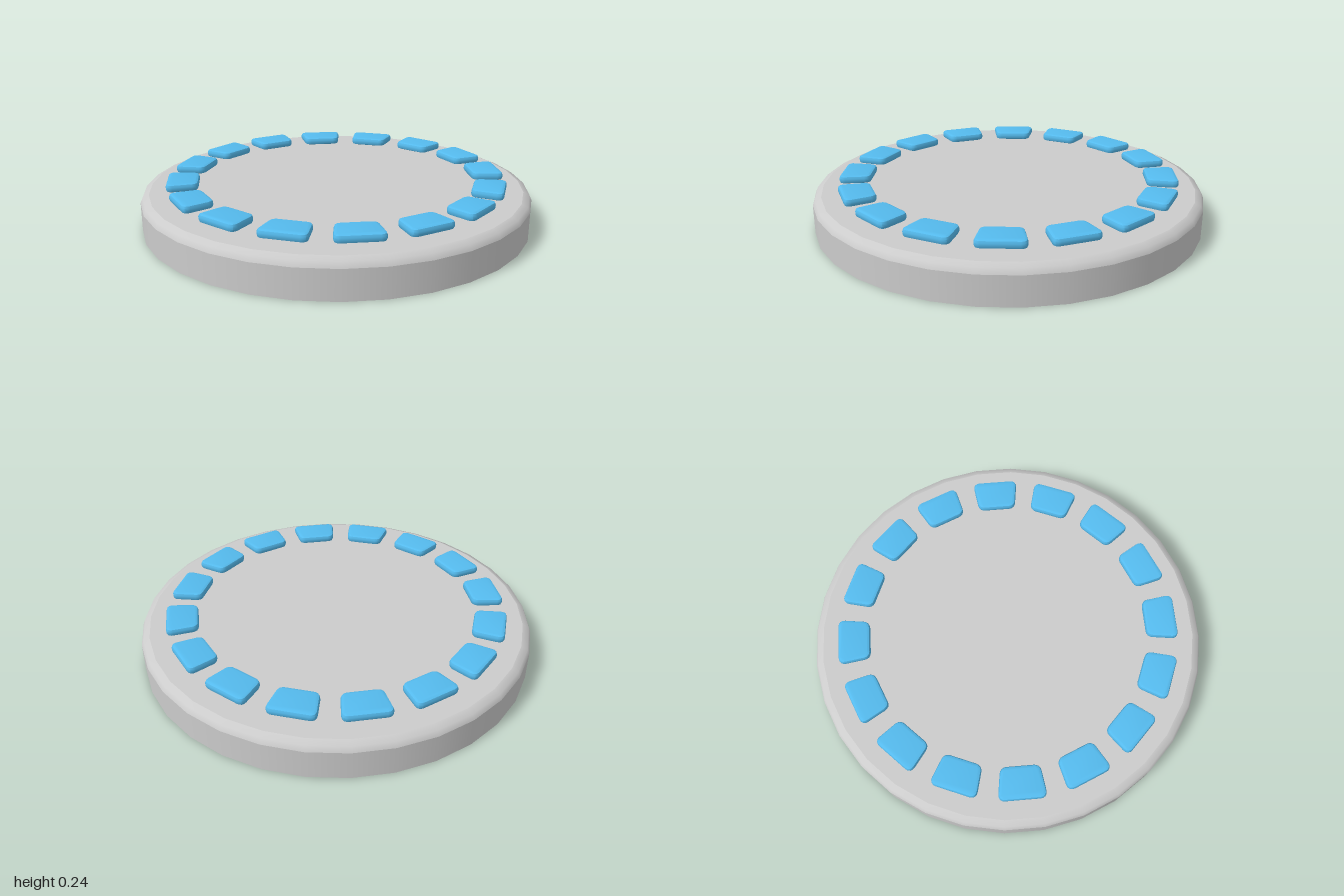
import * as THREE from 'three';
import { toCreasedNormals } from 'three/addons/utils/BufferGeometryUtils.js';

const grey = new THREE.MeshStandardMaterial({ color: 0xcccccc });
const blue = new THREE.MeshStandardMaterial({ color: 0x55bbee });

// A ring of the base turned from [radius, height] points, 32 sides
function turned(name, profile) {
  const points = profile.map(([r, y]) => new THREE.Vector2(r, y));
  const mesh = new THREE.Mesh(new THREE.LatheGeometry(points, 32), grey);
  mesh.name = name;
  return mesh;
}

// Polygon with rounded corners
function roundedShape(corners, radius) {
  const shape = new THREE.Shape();
  const pts = corners.map(([x, y]) => new THREE.Vector2(x, y));
  pts.forEach((p, i) => {
    const towards = (q) => p.clone().add(q.clone().sub(p).setLength(radius));
    const a = towards(pts[(i + pts.length - 1) % pts.length]);
    const b = towards(pts[(i + 1) % pts.length]);
    if (i === 0) shape.moveTo(a.x, a.y);
    else shape.lineTo(a.x, a.y);
    shape.quadraticCurveTo(p.x, p.y, b.x, b.y);
  });
  shape.closePath();
  return shape;
}

// Wedge-shaped pad pointing outwards along +x, bevelled above and below
function padGeometry() {
  const bevel = 0.014;
  const inner = 0.707 + bevel, outer = 0.868 - bevel;
  const innerHalf = 0.099 - bevel, outerHalf = 0.118 - bevel;
  const shape = roundedShape(
    [[inner, -innerHalf], [outer, -outerHalf], [outer, outerHalf], [inner, innerHalf]], 0.02);
  const geometry = new THREE.ExtrudeGeometry(shape, {
    depth: 0.013, bevelThickness: bevel, bevelSize: bevel, bevelSegments: 2, curveSegments: 4,
  });
  geometry.rotateX(-Math.PI / 2);
  geometry.translate(0, 0.198 + bevel, 0);
  return toCreasedNormals(geometry, 0.6);
}

export function createModel() {
  const model = new THREE.Group();

  // Round base with a softened top rim
  const base = new THREE.Group();
  base.name = 'base';
  base.add(
    turned('baseBottom', [[0, 0], [1, 0]]),
    turned('baseWall', [[1, 0], [1, 0.147]]),
    turned('baseRim', [[1, 0.147], [0.988, 0.174], [0.957, 0.187]]),
    turned('baseTop', [[0.957, 0.187], [0, 0.187]]),
  );
  model.add(base);

  // Ring of sixteen pads
  const pads = new THREE.Group();
  pads.name = 'padRing';
  const geometry = padGeometry();
  const count = 16;
  for (let i = 0; i < count; i++) {
    const pad = new THREE.Mesh(geometry, blue);
    pad.name = `pad${i + 1}`;
    pad.rotation.y = -THREE.MathUtils.degToRad(5.5 + (i * 360) / count);
    pads.add(pad);
  }
  model.add(pads);

  return model;
}
